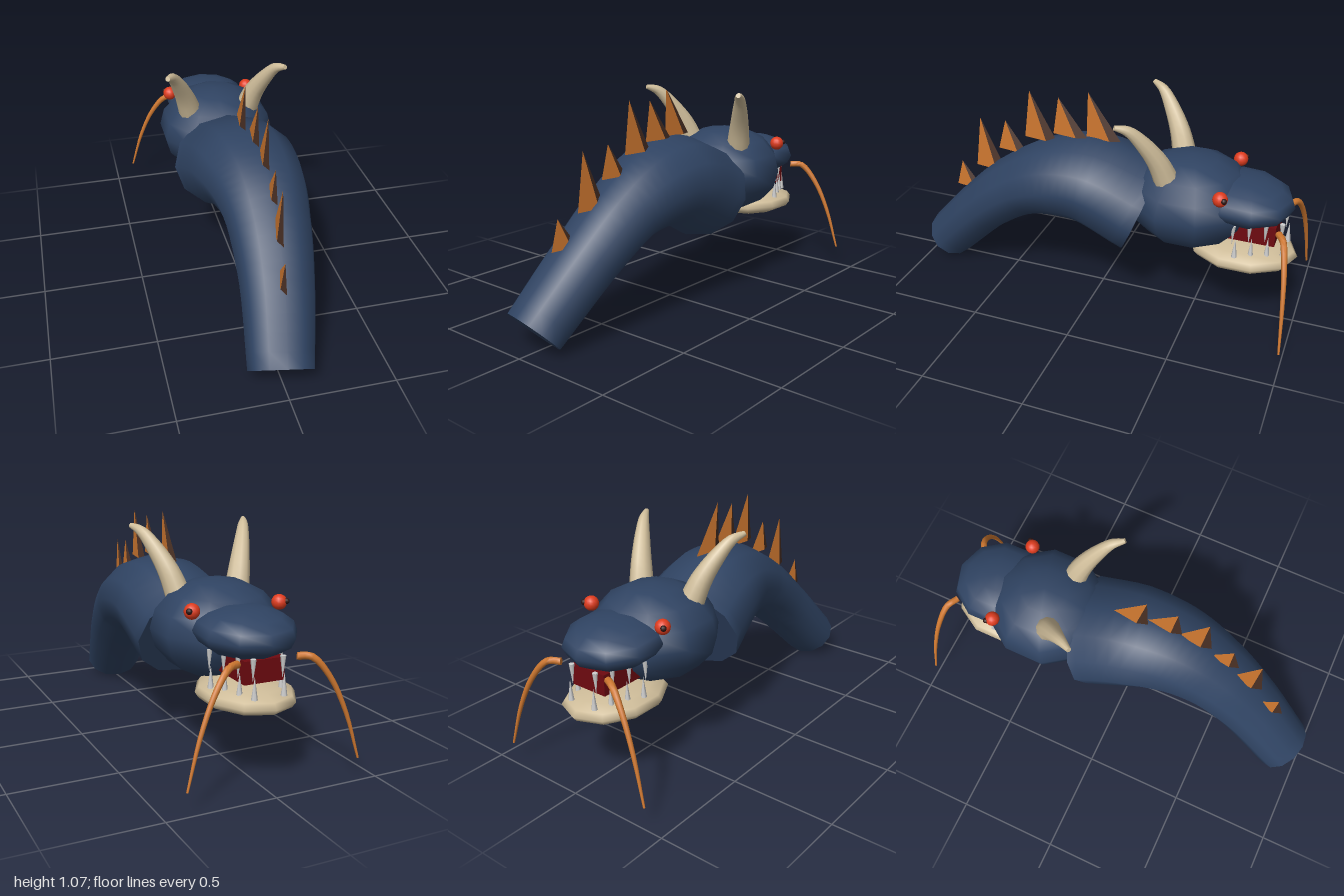
import * as THREE from 'three';

const mat = (name, color) => {
  const m = new THREE.MeshStandardMaterial({ color });
  m.name = name;
  return m;
};

// Tapered tube with capped ends. keys: [x, y, z, side radius, other radius]
function taperedTube(keys, steps, sides) {
  const curve = new THREE.CatmullRomCurve3(keys.map(k => new THREE.Vector3(k[0], k[1], k[2])));
  const radius = (t, c) => {
    const f = t * (keys.length - 1);
    const i = Math.min(Math.floor(f), keys.length - 2);
    return THREE.MathUtils.lerp(keys[i][c], keys[i + 1][c], f - i);
  };
  const pos = [], index = [], rings = [];
  for (let i = 0; i <= steps; i++) {
    const t = i / steps, c = curve.getPoint(t), T = curve.getTangent(t);
    const S = new THREE.Vector3(1, 0, 0).addScaledVector(T, -T.x).normalize();
    const B = new THREE.Vector3().crossVectors(T, S);
    const ring = [];
    for (let j = 0; j < sides; j++) {
      const a = (j / sides) * Math.PI * 2;
      ring.push(c.clone().addScaledVector(S, Math.cos(a) * radius(t, 3)).addScaledVector(B, Math.sin(a) * radius(t, 4)));
    }
    rings.push(ring);
    ring.forEach(p => pos.push(p.x, p.y, p.z));
  }
  for (let i = 0; i < steps; i++) {
    for (let j = 0; j < sides; j++) {
      const a = i * sides + j, b = i * sides + (j + 1) % sides;
      index.push(a, b, a + sides, b, b + sides, a + sides);
    }
  }
  // Flat end caps on their own vertices
  [0, steps].forEach(i => {
    const first = pos.length / 3;
    rings[i].forEach(p => pos.push(p.x, p.y, p.z));
    for (let j = 1; j < sides - 1; j++) {
      if (i === 0) index.push(first, first + j + 1, first + j);
      else index.push(first, first + j, first + j + 1);
    }
  });
  const g = new THREE.BufferGeometry();
  g.setAttribute('position', new THREE.Float32BufferAttribute(pos, 3));
  g.setIndex(index);
  g.computeVertexNormals();
  return g;
}

// Back spine: a thin pyramid on a skewed four-cornered base
function spineGeometry(x, y, zBack, zFront, apexZ, apexY) {
  const mid = (zBack + zFront) / 2, half = (zBack - zFront) / 2, w = 0.016;
  const base = [[0, half], [w, -half * 0.4], [0, -half], [-w, half * 0.4]]
    .map(([dx, dz]) => [x + dx, y, mid + dz]);
  const apex = [x, apexY, apexZ];
  const pos = [];
  const g = new THREE.BufferGeometry();
  [0, 1, 2, 3].forEach(i => {
    pos.push(...base[i], ...base[(i + 1) % 4], ...apex);
    g.addGroup(i * 3, 3, i % 2); // broad faces first, narrow edges second
  });
  pos.push(...base[0], ...base[2], ...base[1], ...base[0], ...base[3], ...base[2]);
  g.addGroup(12, 6, 1);
  g.setAttribute('position', new THREE.Float32BufferAttribute(pos, 3));
  g.computeVertexNormals();
  return g;
}

export function createModel() {
  const group = new THREE.Group();
  const skin = mat('navy skin', 0x2f4362);
  const bone = mat('bone', 0xcfbd9a);
  const orange = mat('orange', 0xcf7830);
  const edge = mat('dark spine edge', 0x4a3024);
  const red = mat('eye red', 0xdf3c1e);
  const dark = mat('pupil', 0x2e1614);
  const gum = mat('mouth red', 0x6e0a10);
  const enamel = mat('tooth grey', 0xd0d0d0);

  const add = (name, geometry, material, x = 0, y = 0, z = 0) => {
    const m = new THREE.Mesh(geometry, material);
    m.name = name;
    m.position.set(x, y, z);
    group.add(m);
    return m;
  };
  // Coarse ellipsoid with a facet edge facing each side
  const ellipsoid = (name, material, y, z, rx, ry, rz, tilt = 0) => {
    const g = new THREE.SphereGeometry(1, 10, 8).rotateY(Math.PI / 2).scale(rx, ry, rz);
    const m = add(name, g, material, 0, y, z);
    m.rotation.x = tilt;
  };

  // Neck, swelling toward the head
  add('neck', taperedTube([
    [-0.012, 0.09, 0.905, 0.153, 0.131],
    [0.04, 0.365, 0.635, 0.175, 0.142],
    [0.06, 0.54, 0.41, 0.2, 0.162],
    [0.06, 0.615, 0.22, 0.232, 0.197],
    [0.04, 0.62, 0.03, 0.262, 0.224],
    [0.01, 0.52, -0.21, 0.285, 0.24],
  ], 25, 12), skin);

  // Head
  ellipsoid('cranium', skin, 0.598, -0.45, 0.3, 0.226, 0.31);
  ellipsoid('snout', skin, 0.643, -0.71, 0.225, 0.106, 0.235, -0.06);
  ellipsoid('lowerJaw', bone, 0.372, -0.72, 0.21, 0.064, 0.262);
  add('mouth', new THREE.BoxGeometry(0.19, 0.1, 0.32), gum, 0, 0.51, -0.72);

  // Spines: x, base y, back z, front z, tip z, tip y
  [
    [0.028, 0.435, 0.82, 0.67, 0.78, 0.577],
    [0.05, 0.585, 0.68, 0.515, 0.642, 0.855],
    [0.06, 0.71, 0.54, 0.385, 0.497, 0.867],
    [0.062, 0.8, 0.39, 0.22, 0.358, 1.047],
    [0.055, 0.838, 0.24, 0.064, 0.21, 1.03],
    [0.033, 0.838, 0.075, -0.1, 0.066, 1.07],
  ].forEach(s => add('spine', spineGeometry(...s), [orange, edge]));

  // Paired parts
  for (const s of [-1, 1]) {
    const side = s > 0 ? 'left' : 'right';
    add(side + 'Horn', taperedTube([
      [s * 0.148, 0.73, -0.37, 0.06, 0.06],
      [s * 0.18, 0.84, -0.332, 0.05, 0.05],
      [s * 0.222, 0.94, -0.275, 0.038, 0.038],
      [s * 0.262, 1.013, -0.215, 0.025, 0.025],
      [s * 0.293, 1.036, -0.16, 0.012, 0.012],
    ], 16, 10), bone);

    add(side + 'Whisker', taperedTube([
      [s * 0.14, 0.562, -0.9, 0.017, 0.017],
      [s * 0.195, 0.56, -0.93, 0.016, 0.016],
      [s * 0.27, 0.47, -0.957, 0.013, 0.013],
      [s * 0.343, 0.31, -0.978, 0.01, 0.01],
      [s * 0.405, 0.1, -0.994, 0.005, 0.005],
    ], 16, 8), orange);

    add(side + 'Eye', new THREE.SphereGeometry(0.035, 14, 10), red, s * 0.213, 0.728, -0.635);
    add(side + 'Pupil', new THREE.SphereGeometry(0.014, 10, 8), dark, s * 0.236, 0.734, -0.657);

    // Upper and lower teeth along the jaw line
    for (let i = 0; i < 4; i++) {
      const x = s * (0.16 - i * 0.03), z = -0.71 - i * 0.07;
      add('lowerTooth', new THREE.ConeGeometry(0.014, 0.1, 6), enamel, x, 0.457, z);
      add('upperTooth', new THREE.ConeGeometry(0.013, 0.1, 6).rotateX(Math.PI), enamel, x, 0.525, z + 0.015);
    }
  }
  return group;
}
